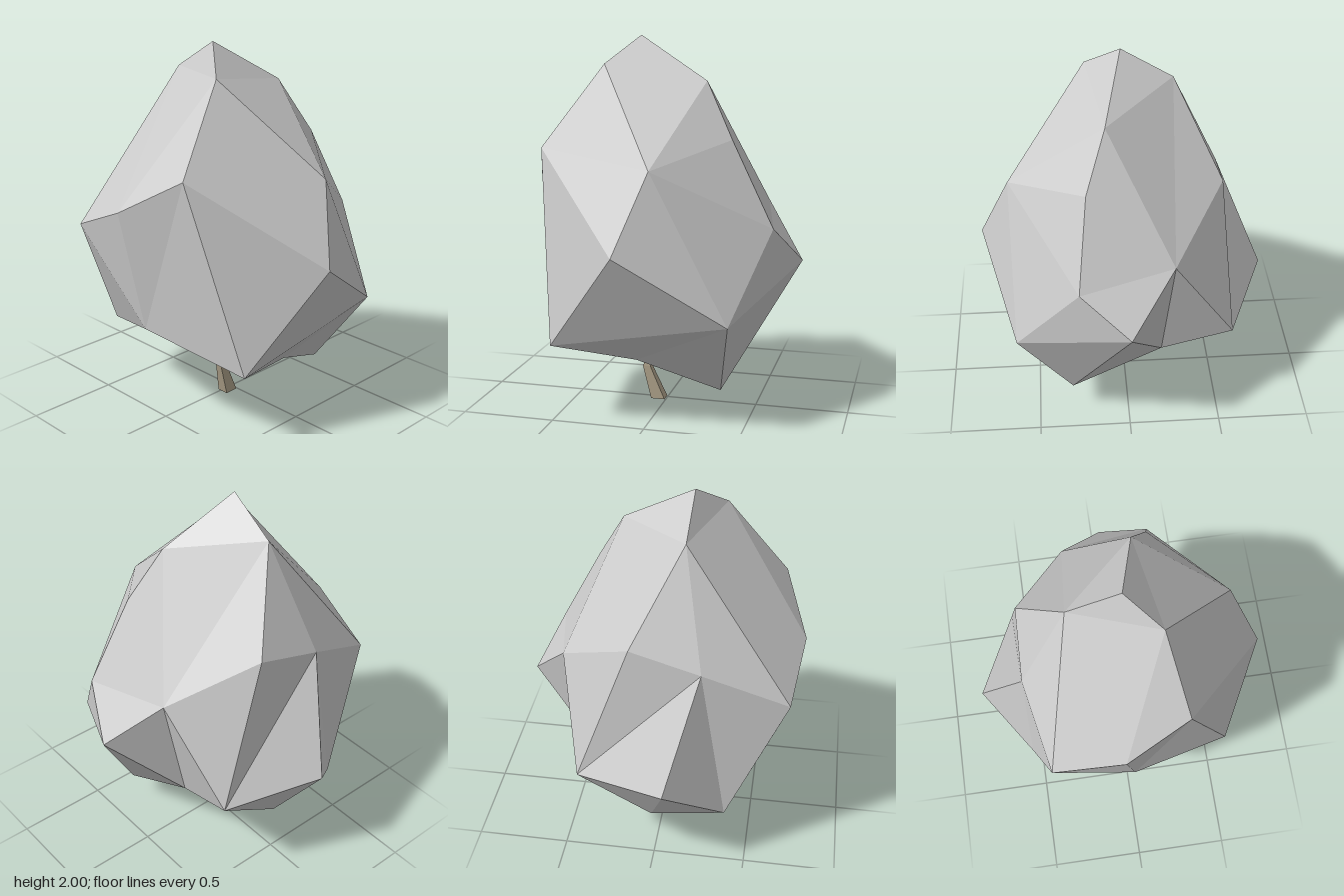
import * as THREE from 'three';

// Stitches two counter-clockwise rings; each step advances the upper (u) or lower (l) ring.
function zip(out, upper, lower, steps) {
  let i = 0, j = 0;
  const up = k => upper[k % upper.length], low = k => lower[k % lower.length];
  for (const s of steps) {
    if (s === 'u') out.push(up(i), low(j), up(++i));
    else out.push(up(i), low(j), low(++j));
  }
}

function facetedMesh(name, corners, color) {
  const geometry = new THREE.BufferGeometry();
  geometry.setAttribute('position', new THREE.Float32BufferAttribute(corners.flat(), 3));
  geometry.computeVertexNormals();
  const mesh = new THREE.Mesh(geometry, new THREE.MeshStandardMaterial({ color, flatShading: true }));
  mesh.name = name;
  return mesh;
}

// Faceted crown, built ring by ring from the tip down
function createCrown() {
  const tip = [0.01, 2, 0.14];
  const top = [[0.19, 1.855, 0.29], [0.11, 1.77, -0.24], [-0.26, 1.84, 0.13]];
  const middle = [
    [-0.05, 1.215, 0.74], [0.29, 1.42, 0.61], [0.61, 1.36, -0.06], [0.215, 1.48, -0.395],
    [-0.225, 1.11, -0.52], [-0.505, 1.36, -0.12], [-0.52, 1.26, 0.245], [-0.43, 1.05, 0.69],
  ];
  const wide = [
    [0.02, 0.575, 0.64], [0.575, 0.435, 0.475], [0.775, 0.955, 0.085], [0.6, 0.6, -0.455],
    [0.265, 1.04, -0.62], [0.01, 0.83, -0.74], [-0.18, 0.43, -0.36], [-0.56, 0.57, -0.4],
    [-0.775, 0.66, 0.085], [-0.54, 0.385, 0.385],
  ];
  const keelLeft = [0.45, 0.355, 0.05];
  const keel = [[-0.52, 0.305, -0.01], keelLeft, [0.31, 0.18, -0.365], keelLeft];

  const faces = [];
  zip(faces, [tip], top, 'lll');
  zip(faces, top, middle, 'llullullllu');
  zip(faces, middle, wide, 'ullulluullluullulu');
  // The two raised corners of the wide ring get a triangle each, then the underside closes
  const raised = [2, 4];
  for (const k of raised) faces.push(wide[k], wide[k - 1], wide[k + 1]);
  const rim = wide.filter((_, k) => !raised.includes(k));
  zip(faces, rim, keel, 'luuluulluuuu');
  return facetedMesh('crown', faces, 0xcccccc);
}

// Thin four-sided trunk with a bend halfway up
function createTrunk() {
  const ring = (x, y, z, rx, rz) =>
    [[-1, 1], [1, 1], [1, -1], [-1, -1]].map(([a, b]) => [x + a * rx, y, z + b * rz]);
  const foot = ring(0.015, 0, 0.045, 0.033, 0.038);
  const bend = ring(0.03, 0.187, 0.108, 0.02, 0.021);
  const end = ring(0.028, 0.37, 0.05, 0.006, 0.007);
  const faces = [];
  zip(faces, end, bend, 'lulululu');
  zip(faces, bend, foot, 'lulululu');
  faces.push(foot[0], foot[2], foot[1], foot[0], foot[3], foot[2]);
  return facetedMesh('trunk', faces, 0xb0a48c);
}

export function createModel() {
  const tree = new THREE.Group();
  tree.name = 'tree';
  tree.add(createCrown(), createTrunk());
  return tree;
}
